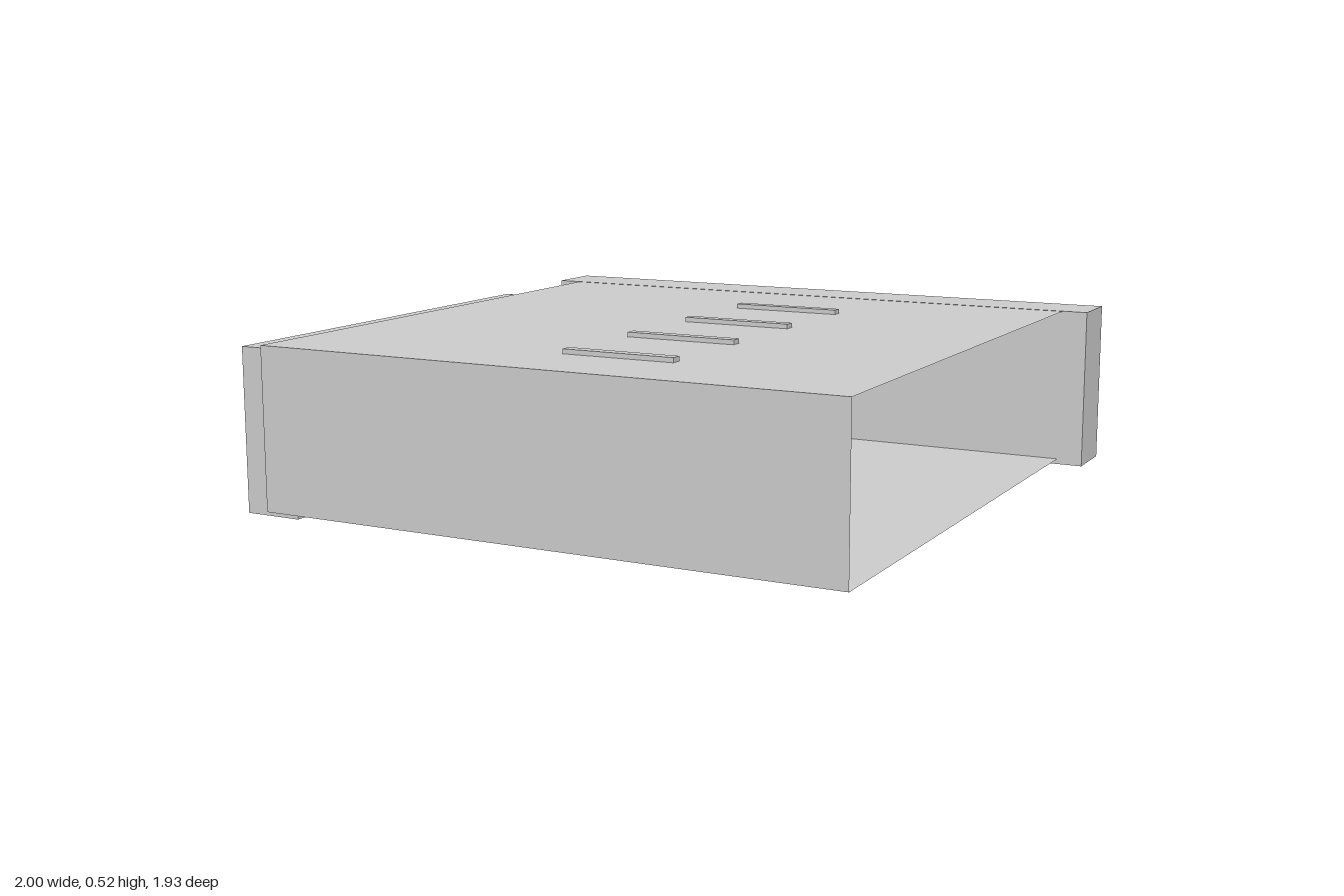
import * as THREE from 'three';

const grey = new THREE.MeshStandardMaterial({ color: 0xcccccc, side: THREE.DoubleSide });

function add(parent, name, geometry, x = 0, y = 0, z = 0) {
  const mesh = new THREE.Mesh(geometry, grey);
  mesh.name = name;
  mesh.position.set(x, y, z);
  parent.add(mesh);
  return mesh;
}

// Box given by its limits on each axis
function boxBetween(parent, name, [x0, x1], [y0, y1], [z0, z1]) {
  return add(parent, name, new THREE.BoxGeometry(x1 - x0, y1 - y0, z1 - z0),
    (x0 + x1) / 2, (y0 + y1) / 2, (z0 + z1) / 2);
}

// Side outline in (z, y) with an elliptical rear top corner
function sideOutline(target, front, back, bottom, top, rz, ry) {
  target.moveTo(front, bottom);
  target.lineTo(front, top);
  target.lineTo(back + rz, top);
  target.absellipse(back + rz, top - ry, rz, ry, Math.PI / 2, Math.PI, false);
  target.lineTo(back, bottom);
  target.closePath();
  return target;
}

// Extrude a (z, y) shape along x, from x0 to x1
function extrudeAlongX(parent, name, shape, x0, x1) {
  const geometry = new THREE.ExtrudeGeometry(shape, {
    depth: x1 - x0, bevelEnabled: false, curveSegments: 10,
  });
  geometry.rotateY(-Math.PI / 2); // shape x -> z, depth -> -x
  return add(parent, name, geometry, x1, 0, 0);
}

export function createModel() {
  const model = new THREE.Group();
  model.name = 'openCase';

  // Thin shell, open on the +x side and at the rear
  const shell = boxBetween(model, 'shell', [-0.885, 0.92], [0.027, 0.511], [-0.83, 0.965]);
  const index = Array.from(shell.geometry.index.array);
  shell.geometry.setIndex(index.slice(6, 30));
  shell.geometry.clearGroups();

  // Rear block, wider than the shell
  boxBetween(model, 'rearPanel', [-0.96, 1.0], [0.01, 0.512], [-0.97, -0.79]);

  // Side cover: a solid outer plate with a raised rim reaching inside the shell
  const cover = new THREE.Group();
  cover.name = 'sideCover';
  model.add(cover);
  const outline = () => sideOutline(new THREE.Shape(), 0.91, -0.635, 0, 0.493, 0.17, 0.09);
  extrudeAlongX(cover, 'coverPlate', outline(), -1, -0.89);
  const rim = outline();
  rim.holes.push(sideOutline(new THREE.Path(), 0.835, -0.555, 0.03, 0.473, 0.12, 0.06));
  extrudeAlongX(cover, 'coverRim', rim, -0.89, -0.82);

  // Four ribs on the lid and four short ones on the inner side wall
  for (let i = 0; i < 4; i++) {
    const z = 0.69 - i * 0.364;
    const depth = [z - 0.017, z + 0.017];
    boxBetween(model, 'topRib', [-0.045, 0.3], [0.5, 0.525], depth);
    boxBetween(model, 'sideRib', [-0.89, -0.865], [0.195, 0.302], depth);
  }

  // Low round disc set through the floor
  const profile = [[0, 0.021], [0.517, 0.021], [0.517, 0.027], [0.49, 0.034], [0.43, 0.039], [0, 0.041]];
  const disc = new THREE.LatheGeometry(profile.map(([r, y]) => new THREE.Vector2(r, y)), 48);
  add(model, 'floorDisc', disc, -0.145, 0, 0);

  return model;
}
